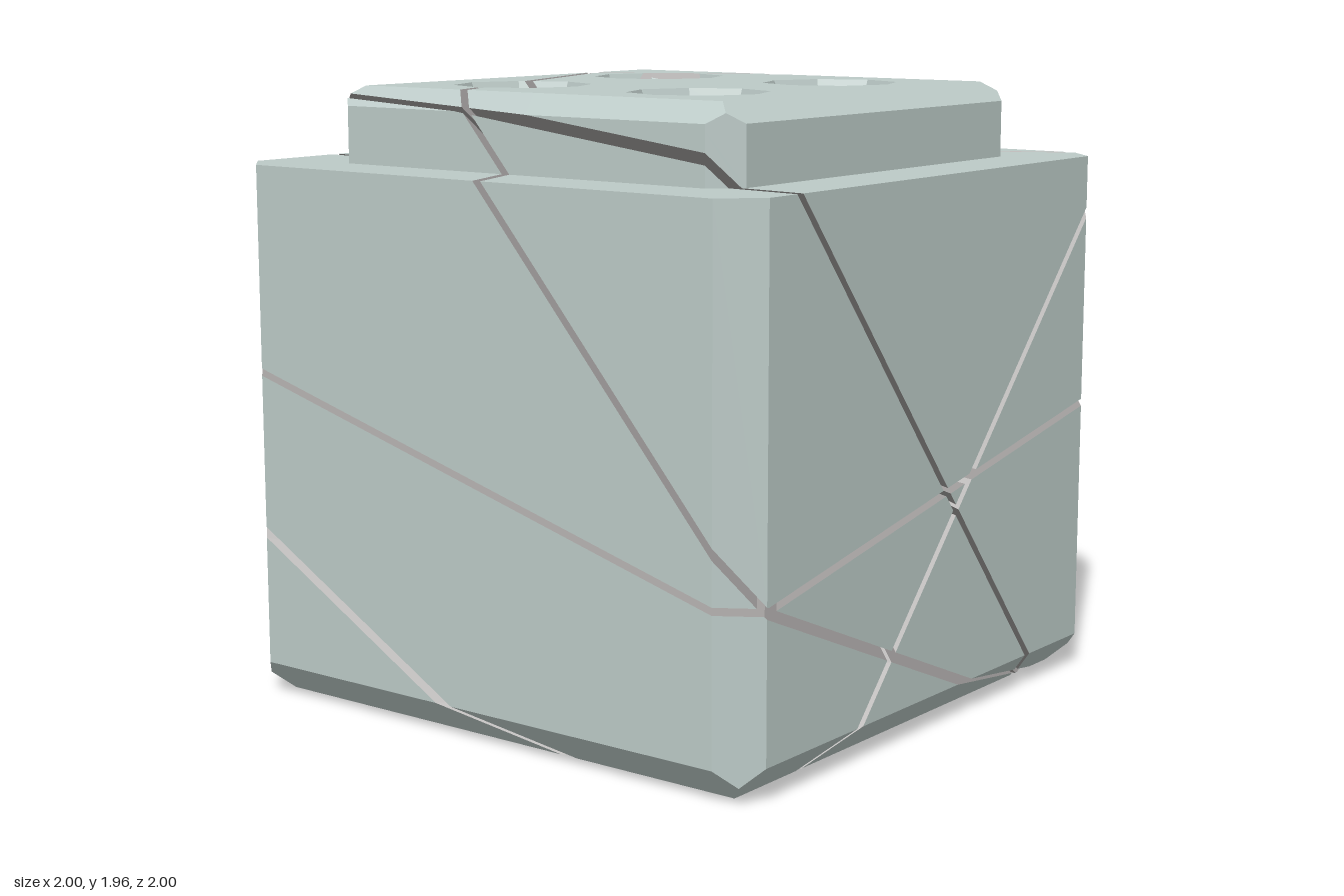
import * as THREE from 'three';

const HIDDEN = 0, OUTER = 1, CUT = 2;
const GAP = 0.022;
const V = (x, y, z) => new THREE.Vector3(x, y, z);

// A cell is a convex solid stored as a list of tagged polygons
function bigBox() {
  const s = 3, cell = [];
  for (const axis of [0, 1, 2]) {
    for (const side of [-1, 1]) {
      const pts = [[-s, -s], [s, -s], [s, s], [-s, s]].map(([u, v]) => {
        const p = V(0, 0, 0);
        p.setComponent(axis, side * s);
        p.setComponent((axis + 1) % 3, u);
        p.setComponent((axis + 2) % 3, v);
        return p;
      });
      cell.push({ pts: side > 0 ? pts : pts.reverse(), tag: HIDDEN });
    }
  }
  return cell;
}

// Keeps the part of a cell where n.p <= d and closes it with a tagged cap
function clip(cell, n, d, tag) {
  const EPS = 1e-6, cap = [], out = [];
  const dist = p => n.dot(p) - d;
  const addCap = p => { if (!cap.some(q => q.distanceTo(p) < 1e-5)) cap.push(p); };
  if (!cell.some(f => f.pts.some(p => dist(p) > EPS))) return cell;
  for (const f of cell) {
    const pts = [];
    f.pts.forEach((a, i) => {
      const b = f.pts[(i + 1) % f.pts.length], da = dist(a), db = dist(b);
      if (da <= EPS) pts.push(a);
      if (Math.abs(da) <= EPS) addCap(a);
      if ((da < -EPS && db > EPS) || (da > EPS && db < -EPS)) {
        const p = a.clone().lerp(b, da / (da - db));
        pts.push(p);
        addCap(p);
      }
    });
    if (pts.length > 2) out.push({ pts, tag: f.tag });
  }
  if (!out.length) return [];
  if (cap.length > 2) {
    const c = V(0, 0, 0);
    cap.forEach(p => c.addScaledVector(p, 1 / cap.length));
    const u = cap[0].clone().sub(c).normalize();
    const w = n.clone().normalize().cross(u);
    const angle = p => Math.atan2(p.clone().sub(c).dot(w), p.clone().sub(c).dot(u));
    out.push({ pts: cap.sort((a, b) => angle(a) - angle(b)), tag });
  }
  return out;
}

const solid = planes => planes.reduce((cell, [n, d, tag = OUTER]) => clip(cell, n, d, tag), bigBox());

// Four sides and four upright corner bevels
function sidePlanes(half, bevel) {
  const planes = [];
  for (const s of [-1, 1]) {
    planes.push([V(s, 0, 0), half], [V(0, 0, s), half]);
    for (const t of [-1, 1]) planes.push([V(s, 0, t), 2 * half - bevel]);
  }
  return planes;
}

// Bevels where the sides meet the top (dir 1) or bottom (dir -1)
function rimPlanes(half, y, run, rise, dir) {
  const k = dir * run / rise;
  const d = half - run + k * y;
  return [V(1, k, 0), V(-1, k, 0), V(0, k, 1), V(0, k, -1)].map(n => [n, d]);
}

function makeCells() {
  const bodyTop = 1.715, floor = 1.875, top = 1.955;

  // Main block
  const cells = [solid([
    ...sidePlanes(1, 0.11), [V(0, -1, 0), 0], [V(0, 1, 0), bodyTop],
    ...rimPlanes(1, 0, 0.11, 0.11, -1),
  ])];

  // Lower layer of the cap, carrying the recess floors
  const capSides = [...sidePlanes(0.783, 0.083), ...rimPlanes(0.783, top, 0.083, 0.06, 1)];
  cells.push(solid([...capSides, [V(0, -1, 0), -bodyTop, HIDDEN], [V(0, 1, 0), floor]]));

  // Upper layer: eight wedges around each tapered octagonal recess
  const cos = Math.cos(Math.PI / 8);
  const rTop = 0.22 * cos, rFloor = 0.192 * cos;
  const taper = (rTop - rFloor) / (top - floor);
  for (const sx of [-1, 1]) for (const sz of [-1, 1]) for (let k = 0; k < 8; k++) {
    const c = V(sx * 0.35, 0, sz * 0.35);
    const a0 = k * Math.PI / 4, a1 = a0 + Math.PI / 4, am = a0 + Math.PI / 8;
    const startRay = V(Math.sin(a0), 0, -Math.cos(a0));
    const endRay = V(-Math.sin(a1), 0, Math.cos(a1));
    const wall = V(-Math.cos(am), taper, -Math.sin(am));
    cells.push(solid([
      ...capSides,
      [V(0, -1, 0), -floor, HIDDEN], [V(0, 1, 0), top],
      [V(-sx, 0, 0), 0, HIDDEN], [V(0, 0, -sz), 0, HIDDEN],
      [startRay, startRay.dot(c), HIDDEN], [endRay, endRay.dot(c), HIDDEN],
      [wall, wall.dot(c) - rTop + taper * top],
    ]));
  }
  return cells;
}

// Slanted cracks running through the whole block: normal and a point on it
const CRACKS = [
  [V(1, 0.87, -0.365), V(0.03, 1.72, 1)],
  [V(0.275, 1, 0.191), V(0.89, 0.57, 1)],
  [V(0.566, 1, 1.09), V(-0.89, 0.54, 1)],
  [V(-0.1, -0.82, 1), V(1, 1.72, 0.75)],
].map(([n, p]) => {
  n.normalize();
  return { n, d: n.dot(p) };
});

function toGeometry(faces) {
  const pos = [];
  for (const { pts } of faces) {
    for (let i = 1; i < pts.length - 1; i++) {
      for (const p of [pts[0], pts[i], pts[i + 1]]) pos.push(p.x, p.y, p.z);
    }
  }
  const g = new THREE.BufferGeometry();
  g.setAttribute('position', new THREE.Float32BufferAttribute(pos, 3));
  g.computeVertexNormals();
  return g;
}

export function createModel() {
  const model = new THREE.Group();
  model.name = 'crackedBlock';
  const materials = {
    [OUTER]: new THREE.MeshStandardMaterial({ color: 0xbccac7, flatShading: true }),
    [CUT]: new THREE.MeshStandardMaterial({ color: 0x9c9998, flatShading: true }),
  };
  const cells = makeCells();

  // One fragment for every combination of crack sides
  for (let mask = 0; mask < 1 << CRACKS.length; mask++) {
    const faces = cells.flatMap(cell => CRACKS.reduce((part, { n, d }, i) => {
      const s = mask & (1 << i) ? 1 : -1;
      return clip(part, n.clone().multiplyScalar(s), s * d - GAP / 2, CUT);
    }, cell));
    if (!faces.length) continue;
    const fragment = new THREE.Group();
    fragment.name = `fragment${model.children.length + 1}`;
    for (const [tag, name] of [[OUTER, 'outerSurface'], [CUT, 'crackWalls']]) {
      const own = faces.filter(f => f.tag === tag);
      if (!own.length) continue;
      const mesh = new THREE.Mesh(toGeometry(own), materials[tag]);
      mesh.name = name;
      fragment.add(mesh);
    }
    model.add(fragment);
  }
  return model;
}
